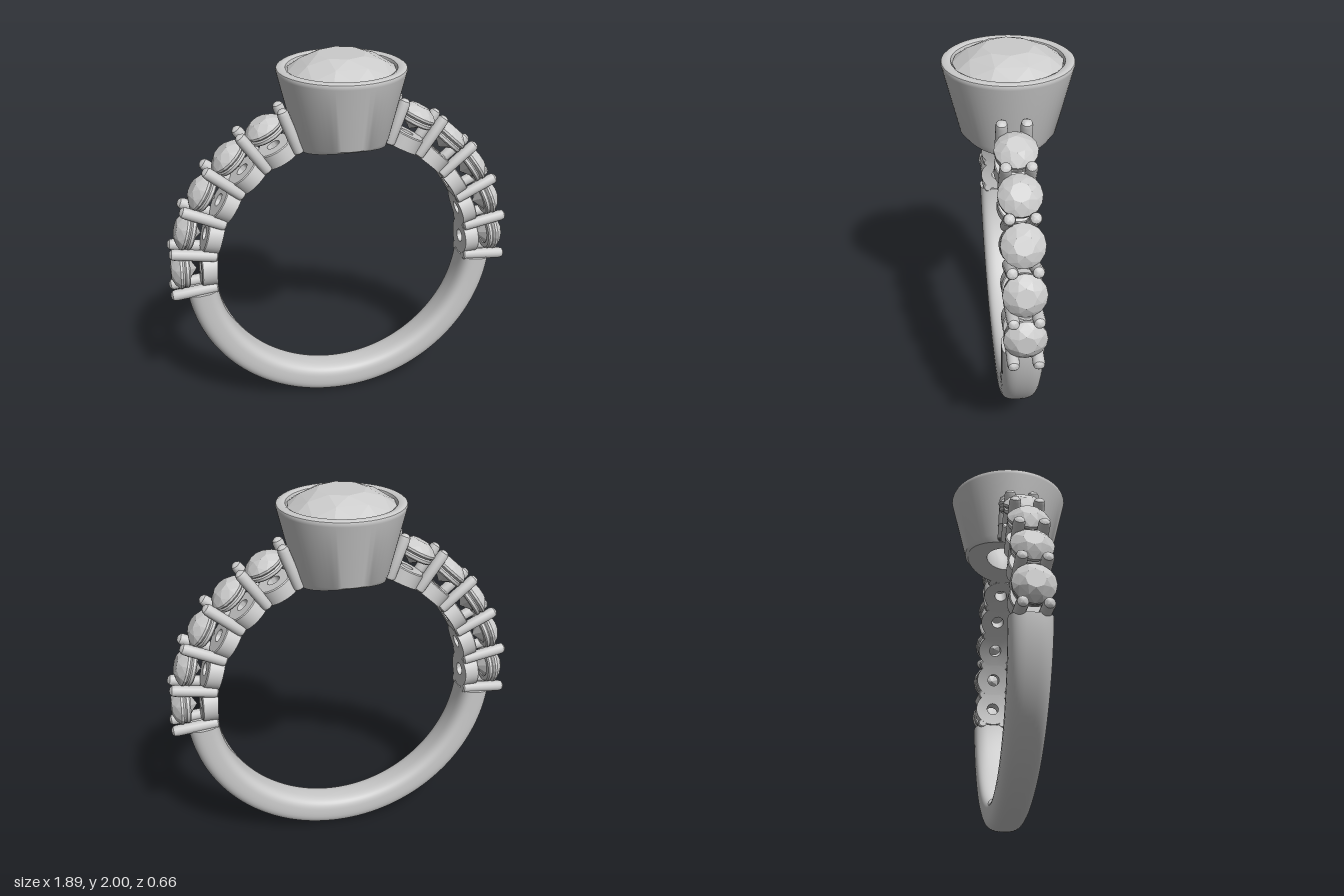
import * as THREE from 'three';
import { toCreasedNormals } from 'three/addons/utils/BufferGeometryUtils.js';
import { ConvexGeometry } from 'three/addons/geometries/ConvexGeometry.js';
import { ParametricGeometry } from 'three/addons/geometries/ParametricGeometry.js';

const CENTER_Y = 0.865; // centre of the finger hole
const INNER = 0.695; // radius of the finger hole
const START = THREE.MathUtils.degToRad(-6); // where the plain band ends
const mat = new THREE.MeshStandardMaterial({ color: 0xcccccc });
const matFlat = new THREE.MeshStandardMaterial({ color: 0xcccccc, flatShading: true });
const matDouble = new THREE.MeshStandardMaterial({ color: 0xcccccc, side: THREE.DoubleSide });

function add(parent, name, geometry, material = mat) {
  const mesh = new THREE.Mesh(geometry, material);
  mesh.name = name;
  parent.add(mesh);
  return mesh;
}

// Lathe with crisp corners; vertices at the finger hole follow its curve
function turned(points, segments) {
  const g = new THREE.LatheGeometry(points.map(([x, y]) => new THREE.Vector2(x, y)), segments);
  const p = g.attributes.position;
  for (let i = 0; i < p.count; i++) {
    if (p.getY(i) < INNER + 0.0001) p.setY(i, Math.sqrt(INNER * INNER - p.getX(i) ** 2));
  }
  return toCreasedNormals(g, 0.6);
}

// Faceted round stone with its girdle at y = 0
function gem(r, crown, pavilion) {
  const pts = [new THREE.Vector3(0, -pavilion, 0)];
  const ring = (n, radius, y, turn) => {
    for (let i = 0; i < n; i++) {
      const a = ((i + turn) / n) * Math.PI * 2;
      pts.push(new THREE.Vector3(radius * Math.cos(a), y, radius * Math.sin(a)));
    }
  };
  ring(8, r * 0.46, crown, 0);
  ring(8, r * 0.76, crown * 0.62, 0.5);
  ring(16, r, 0.006, 0);
  ring(16, r, -0.006, 0);
  ring(8, r * 0.55, -pavilion * 0.55, 0.5);
  return new ConvexGeometry(pts);
}

// Band section: t runs around it, w is the half width
function section(t, w) {
  const c = Math.cos(t), s = Math.sin(t);
  const soft = (v, e) => Math.sign(v) * Math.abs(v) ** e;
  return [0.7775 + 0.0825 * soft(c, c > 0 ? 0.75 : 0.6), w * soft(s, 0.65)];
}

function buildBand(parent) {
  const from = -Math.PI - START, to = START;
  add(parent, 'band', new ParametricGeometry((u, v, out) => {
    const a = from + (to - from) * u;
    const w = 0.09 + 0.015 * Math.abs(2 * u - 1) ** 1.5;
    const [r, z] = section(v * Math.PI * 2, w);
    out.set(r * Math.cos(a), r * Math.sin(a), z);
  }, 96, 40));
  const outline = [];
  for (let i = 0; i < 40; i++) {
    outline.push(new THREE.Vector2(...section((i / 40) * Math.PI * 2, 0.105)));
  }
  const capGeo = new THREE.ShapeGeometry(new THREE.Shape(outline)).rotateX(Math.PI / 2);
  for (const a of [from, to]) add(parent, 'bandEnd', capGeo, matDouble).rotation.z = a;
}

function buildHead(parent) {
  const head = new THREE.Group();
  head.name = 'head';
  parent.add(head);
  add(head, 'bezelCup', turned([
    [0.12, 0.76], [0.12, INNER], [0.18, INNER], [0.23, INNER], [0.245, 0.705],
    [0.326, 1.045], [0.329, 1.058], [0.326, 1.068], [0.316, 1.074],
    [0.292, 1.074], [0.28, 1.068], [0.275, 1.055], [0.272, 1.03], [0.12, 0.76],
  ], 72));
  add(head, 'centreStone', gem(0.274, 0.083, 0.27), matFlat).position.y = 1.052;
}

function buildShoulders(parent) {
  const prongGeo = turned([
    [0, 0.696], [0.021, 0.696], [0.028, 0.702], [0.03, 0.715],
    [0.03, 0.92], [0.026, 0.936], [0.014, 0.946], [0, 0.948],
  ], 16);
  const collarGeo = turned([
    [0.035, 0.775], [0.035, INNER], [0.07, INNER], [0.1, INNER],
    [0.1, 0.77], [0.095, 0.775], [0.035, 0.775],
  ], 32);
  const seatGeo = turned([
    [0.066, 0.835], [0.092, 0.835], [0.099, 0.842], [0.099, 0.856],
    [0.092, 0.863], [0.078, 0.863], [0.066, 0.835],
  ], 32);
  const stoneGeo = gem(0.106, 0.05, 0.085);

  for (const side of [1, -1]) {
    const shoulder = new THREE.Group();
    shoulder.name = side > 0 ? 'leftShoulder' : 'rightShoulder';
    parent.add(shoulder);
    // Turn a part out from the top of the ring to the given elevation
    const spoke = (name, degrees) => {
      const g = new THREE.Group();
      g.name = name;
      g.rotation.z = -side * THREE.MathUtils.degToRad(90 - degrees);
      shoulder.add(g);
      return g;
    };
    for (let i = 0; i < 6; i++) {
      const pair = spoke('prongPair', -5 + i * 15);
      for (const z of [0.06, -0.06]) add(pair, 'prong', prongGeo).position.z = z;
    }
    for (let i = 0; i < 5; i++) {
      const setting = spoke('stoneSetting', 2.5 + i * 15);
      add(setting, 'collar', collarGeo);
      add(setting, 'seatRing', seatGeo);
      add(setting, 'sideStone', stoneGeo, matFlat).position.y = 0.88;
    }
  }
}

export function createModel() {
  const model = new THREE.Group();
  model.name = 'ring';
  const body = new THREE.Group();
  body.name = 'ringBody';
  body.position.y = CENTER_Y;
  model.add(body);
  buildBand(body);
  buildHead(body);
  buildShoulders(body);
  return model;
}
